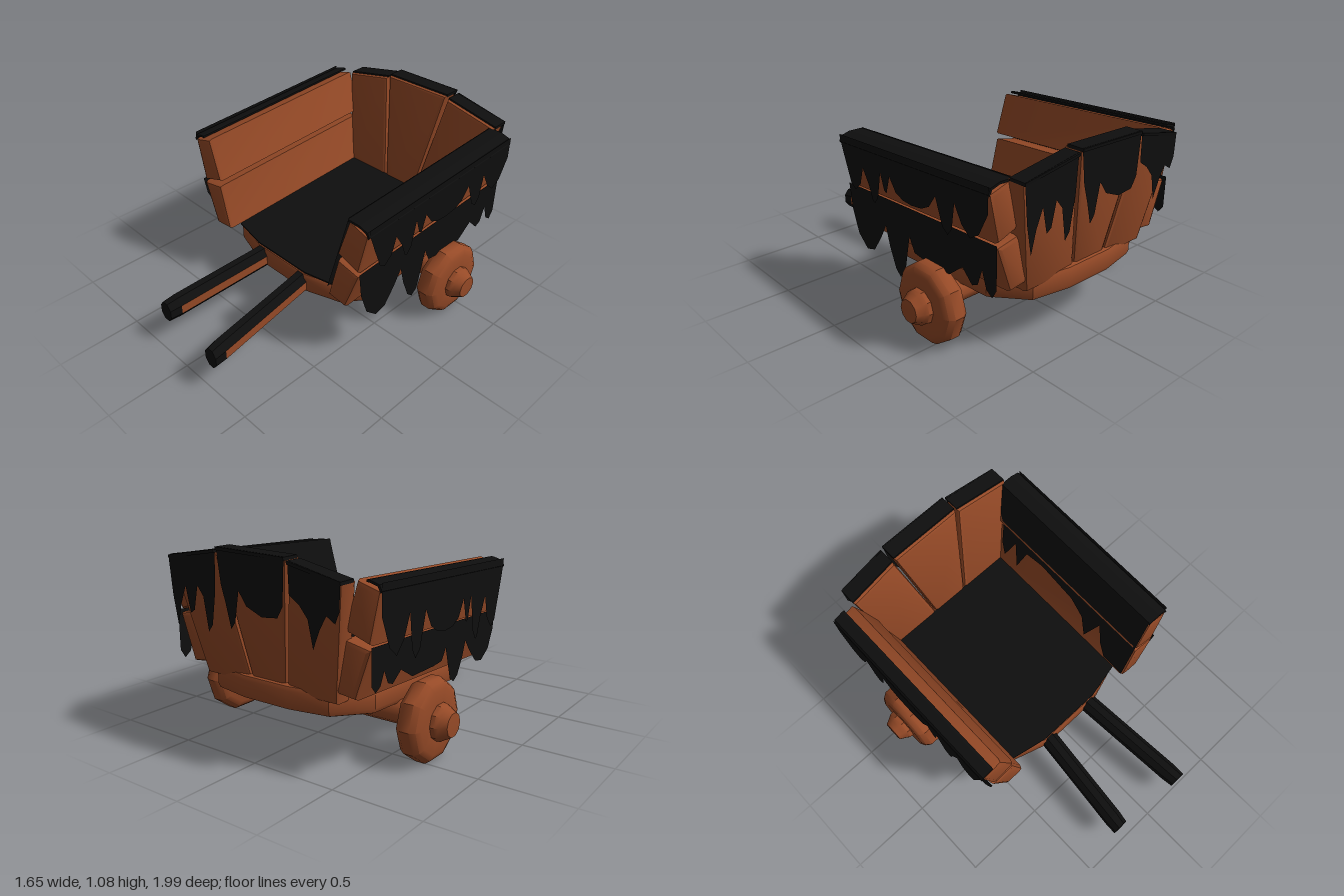
import * as THREE from 'three';
import { toCreasedNormals } from 'three/addons/utils/BufferGeometryUtils.js';

const wood = new THREE.MeshStandardMaterial({ color: 0x964a27 });
wood.name = 'wood';
const tar = new THREE.MeshStandardMaterial({ color: 0x0e0e0e, side: THREE.DoubleSide });
tar.name = 'black coating';

const shapeOf = pts => new THREE.Shape(pts.map(p => new THREE.Vector2(p[0], p[1])));

// moves every vertex by a rule
function warp(geo, rule) {
  const p = geo.attributes.position, v = new THREE.Vector3();
  for (let i = 0; i < p.count; i++) {
    rule(v.fromBufferAttribute(p, i));
    p.setXYZ(i, v.x, v.y, v.z);
  }
  geo.computeVertexNormals();
  return geo;
}
// the cart body rises slightly towards the back
const tilt = v => { v.y += (0.3 - v.z) * 0.045; };
const lean = v => { v.z -= (v.y - 0.4) * 0.15; };

// outline extruded from z0 to z1 with rounded edges
function plank(pts, z0, z1, b) {
  const geo = new THREE.ExtrudeGeometry(shapeOf(pts), {
    depth: z1 - z0 - 2 * b, bevelEnabled: b > 0, bevelThickness: b,
    bevelSize: b, bevelOffset: -b, bevelSegments: 2,
  });
  return geo.translate(0, 0, z0 + b);
}
const soft = geo => toCreasedNormals(geo, 0.6);

// drip outlines: [along, height]
const upperDrips = [
  [.31, .94], [.31, .92], [.27, .81], [.22, .68], [.18, .655], [.13, .70], [.10, .80], [.05, .72], [.02, .64], [0, .63],
  [-.03, .67], [-.06, .82], [-.09, .73], [-.11, .72], [-.14, .82], [-.19, .75], [-.25, .725], [-.32, .72], [-.4, .73],
  [-.46, .76], [-.51, .83], [-.56, .69], [-.6, .66], [-.63, .7], [-.65, .84], [-.70, .75], [-.76, .70], [-.82, .74],
  [-.88, .86], [-.88, .99],
];
const lowerDrips = [
  [.32, .64], [.30, .49], [.25, .35], [.17, .28], [.10, .30], [.03, .40], [-.02, .49], [-.05, .38], [-.1, .26],
  [-.14, .225], [-.18, .26], [-.23, .50], [-.27, .42], [-.35, .41], [-.55, .41], [-.65, .49], [-.72, .42], [-.76, .44],
  [-.79, .53], [-.82, .44], [-.86, .41], [-.89, .46], [-.89, .69],
];
const innerDrips = [
  [.31, .95], [.31, .42], [.16, .42], [.10, .5], [.05, .62], [-.02, .44], [-.08, .56], [-.19, .62], [-.45, .65],
  [-.58, .63], [-.63, .47], [-.68, .63], [-.74, .47], [-.78, .55], [-.80, .68], [-.87, .8], [-.87, .95],
];
const backDrips = [
  [[-.55, .995], [-.545, .86], [-.52, .8], [-.47, .83], [-.43, .76], [-.39, .66], [-.36, .8], [-.31, .86], [-.25, .9], [-.245, 1.06]],
  [[-.23, 1.075], [-.215, .84], [-.18, .78], [-.08, .77], [.02, .81], [.07, .88], [.1, .72], [.13, .68], [.16, .8], [.19, .9], [.215, 1.085]],
  [[.23, 1.07], [.24, .86], [.27, .68], [.3, .64], [.33, .82], [.37, .87], [.4, .74], [.43, .72], [.46, .86], [.5, .76], [.53, .64], [.56, .8], [.58, 1.01]],
];

// front-view outlines of the boards
const lowerBoard = [[.42, .375], [.55, .36], [.642, .62], [.488, .652]];
const upperBoard = [[.482, .69], [.633, .638], [.692, .90], [.56, .94]];
const backBoards = [
  [[-.44, .37], [-.125, .37], [-.245, 1.05], [-.55, .985]],
  [[-.12, .37], [.10, .37], [.215, 1.075], [-.23, 1.065]],
  [[.105, .37], [.44, .37], [.58, 1.0], [.23, 1.06]],
];

export function createModel() {
  const cart = new THREE.Group();
  cart.name = 'cart';
  const add = (name, geo, mat) => {
    const m = new THREE.Mesh(geo, mat);
    m.name = name;
    cart.add(m);
    return m;
  };

  // base slab with cut corners, and the black floor
  const half = [[.2, .29], [.42, .22], [.52, .1], [.52, -.68], [.38, -.87], [.15, -.915]];
  const plan = [...half, ...half.map(([x, z]) => [-x, z]).reverse()].map(([x, z]) => [x, -z]);
  add('base', soft(warp(plank(plan, .232, .368, .03).rotateX(-Math.PI / 2), tilt)), wood);
  const floor = [[-.2, -.28], [.2, -.28], [.42, -.235], [.42, .79], [-.42, .79], [-.42, -.235]];
  add('floor', warp(plank(floor, .367, .375, 0).rotateX(-Math.PI / 2), tilt), tar);

  // side boards with their coating
  for (const s of [1, -1]) {
    const side = s > 0 ? 'left' : 'right';
    const flip = pts => pts.map(([x, y]) => [s * x, y]);
    add(side + 'LowerBoard', soft(warp(plank(flip(lowerBoard), -.885, .32, .025), tilt)), wood);
    add(side + 'UpperBoard', soft(warp(plank(flip(upperBoard), -.885, .32, .025), tilt)), wood);

    const inner = s > 0 ? .552 : .615;
    const cap = [[inner, .932], [inner, .944], [.63, .944], [.685, .928], [.698, .90], [.69, .89], [.675, .918], [.63, .932]];
    add(side + 'TopCoating', warp(plank(flip(cap), -.882, .315, 0), tilt), tar);

    // sheets hang straight down outside each board
    const sheet = (name, pts, x, top, reach) => {
      const fit = pts.map(([z, y]) => [z, y > top ? y : top - (top - y) * reach]);
      const geo = new THREE.ShapeGeometry(shapeOf(fit));
      add(name, warp(geo, v => v.set(s * x, v.y, v.x)), tar);
    };
    sheet(side + 'UpperDrips', upperDrips, .696, .93, s > 0 ? 1 : 1.3);
    sheet(side + 'LowerDrips', lowerDrips, .648, .64, s > 0 ? 1 : .75);
  }

  // coating running down the inside of one wall
  add('innerDrips', warp(new THREE.ShapeGeometry(shapeOf(innerDrips)), v => {
    v.set(.56 - (.94 - v.y) * .27 - .01, v.y, v.x);
    tilt(v);
  }), tar);

  // fanned back boards with coated tops and drips
  backBoards.forEach((pts, i) => {
    add('backBoard' + (i + 1), soft(warp(plank(pts, -.89, -.78, .02), lean)), wood);
    const [r, l] = [pts[2], pts[3]];
    const strip = [[l[0], l[1] - .008], [r[0], r[1] - .008], [r[0], r[1] + .009], [l[0], l[1] + .009]];
    add('backTopCoating' + (i + 1), warp(plank(strip, -.9, -.80, 0), lean), tar);
    const drips = new THREE.ShapeGeometry(shapeOf(backDrips[i]));
    add('backDrips' + (i + 1), drips.translate(0, 0, i === 1 ? -.995 : -.988), tar);
  });

  // axle and wheels with hubs
  const axle = new THREE.CylinderGeometry(.07, .07, 1.24, 10).rotateZ(Math.PI / 2);
  add('axle', axle.translate(0, .222, -.435), wood);
  const wheelProfile = [[0, .60], [.175, .60], [.205, .615], [.225, .645], [.225, .70], [.205, .728], [.175, .742],
    [.10, .742], [.098, .765], [.085, .785], [.065, .822], [0, .826]].map(p => new THREE.Vector2(...p));
  for (const s of [1, -1]) {
    const geo = new THREE.LatheGeometry(wheelProfile, 10).rotateZ(-Math.PI / 2);
    if (s < 0) geo.rotateY(Math.PI);
    add(s > 0 ? 'leftWheel' : 'rightWheel', soft(geo.translate(0, .215, -.435)), wood);
  }

  // pulling shafts: bare wood on one flank and below, black elsewhere
  for (const [name, s, end] of [['leftShaft', 1, .99], ['rightShaft', -1, .95]]) {
    const bar = (z0, z1, tip) => {
      let geo = new THREE.CylinderGeometry(tip, .073, z1 - z0, 8, 1);
      geo.clearGroups();
      for (let i = 0; i < 8; i++) geo.addGroup(i * 6, 6, i === 1 || i === 7 ? 0 : 1);
      geo.addGroup(48, 48, 1);
      geo = geo.toNonIndexed().rotateY(Math.PI / 8).rotateX(Math.PI / 2);
      return warp(geo.translate(0, 0, (z0 + z1) / 2), v => {
        v.x = v.x * .75 + s * (.165 + (v.z - .27) * .09);
        v.y += .29 - (v.z - .28) * .095;
      });
    };
    add(name, bar(.15, end - .07, .073), [wood, tar]);
    add(name + 'Tip', bar(end - .07, end, .066), tar);
  }
  return cart;
}
